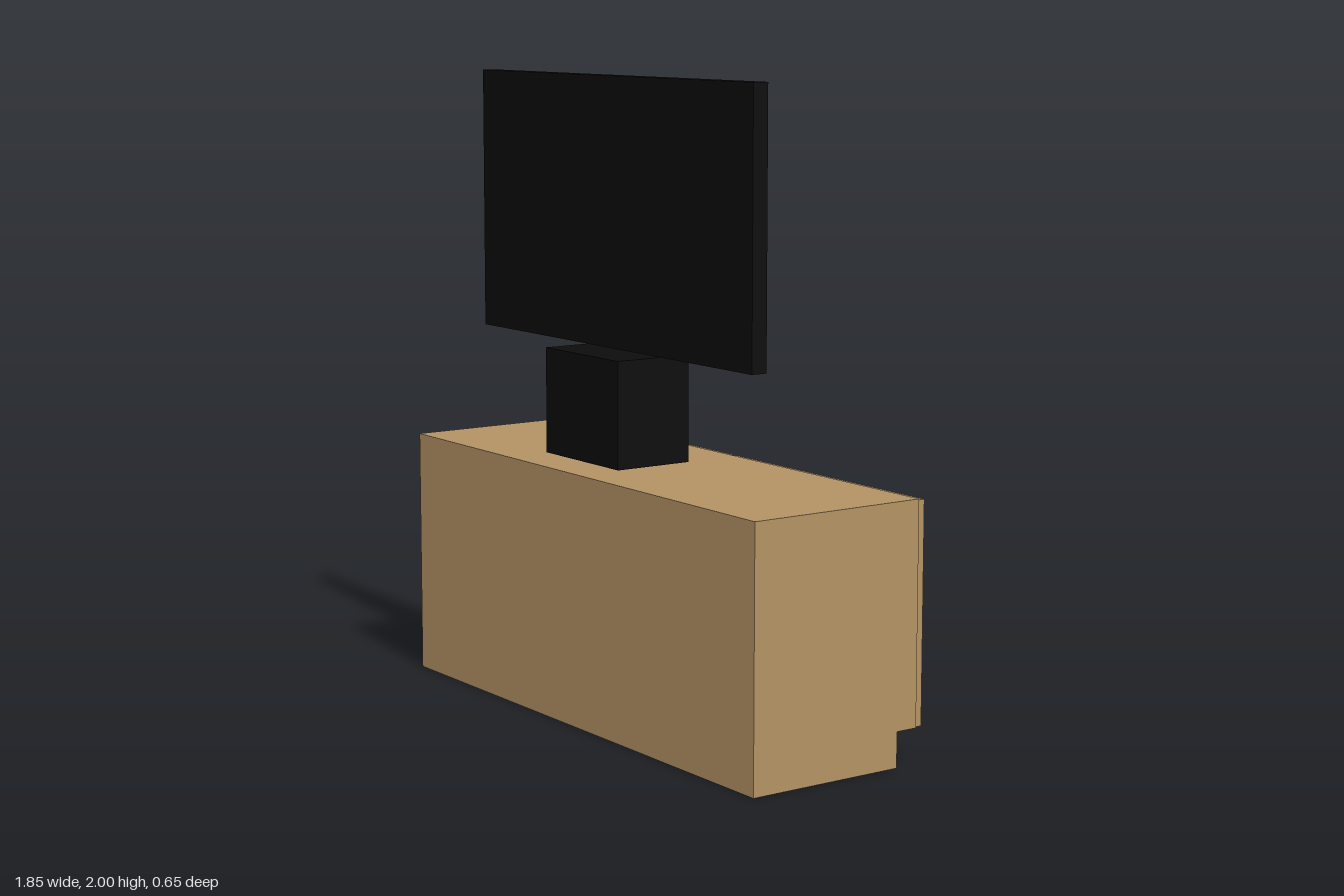
import * as THREE from 'three';

export function createModel() {
  const model = new THREE.Group();
  const wood = new THREE.MeshStandardMaterial({ color: 0xb39264 });
  wood.name = 'wood';
  const black = new THREE.MeshStandardMaterial({ color: 0x0c0c0c });
  black.name = 'black';

  // Box given by its lower and upper limits on each axis
  function box(name, material, [x0, x1], [y0, y1], [z0, z1], parent = model) {
    const mesh = new THREE.Mesh(new THREE.BoxGeometry(x1 - x0, y1 - y0, z1 - z0), material);
    mesh.position.set((x0 + x1) / 2, (y0 + y1) / 2, (z0 + z1) / 2);
    mesh.name = name;
    parent.add(mesh);
    return mesh;
  }

  // Cabinet: carcass overhanging a recessed plinth
  const cabinet = new THREE.Group();
  cabinet.name = 'cabinet';
  model.add(cabinet);
  const side = new THREE.Shape([
    [-0.325, 0], [0.2, 0], [0.2, 0.11], [0.272, 0.11], [0.272, 0.795], [-0.325, 0.795],
  ].map(([u, v]) => new THREE.Vector2(u, v)));
  const carcassGeometry = new THREE.ExtrudeGeometry(side, { depth: 1.85, bevelEnabled: false });
  carcassGeometry.translate(0, 0, -0.925);
  carcassGeometry.rotateY(Math.PI / 2);
  const carcass = new THREE.Mesh(carcassGeometry, wood);
  carcass.name = 'carcass';
  cabinet.add(carcass);

  // Pair of doors with upright bar handles
  for (const s of [-1, 1]) {
    const label = s > 0 ? 'left' : 'right';
    const span = s > 0 ? [0.003, 0.921] : [-0.921, -0.003];
    box(label + 'Door', wood, span, [0.112, 0.791], [-0.295, -0.274], cabinet);

    const handle = new THREE.Mesh(new THREE.CylinderGeometry(0.006, 0.006, 0.158, 16), wood);
    handle.position.set(s * 0.053, 0.453, -0.315);
    handle.name = label + 'Handle';
    cabinet.add(handle);
  }

  // Television: block stand and flat screen
  const television = new THREE.Group();
  television.name = 'television';
  model.add(television);
  box('stand', black, [-0.198, 0.198], [0.83, 1.16], [0.03, 0.29], television);
  box('screen', black, [-0.725, 0.725], [1.172, 2], [0.135, 0.187], television);

  return model;
}
